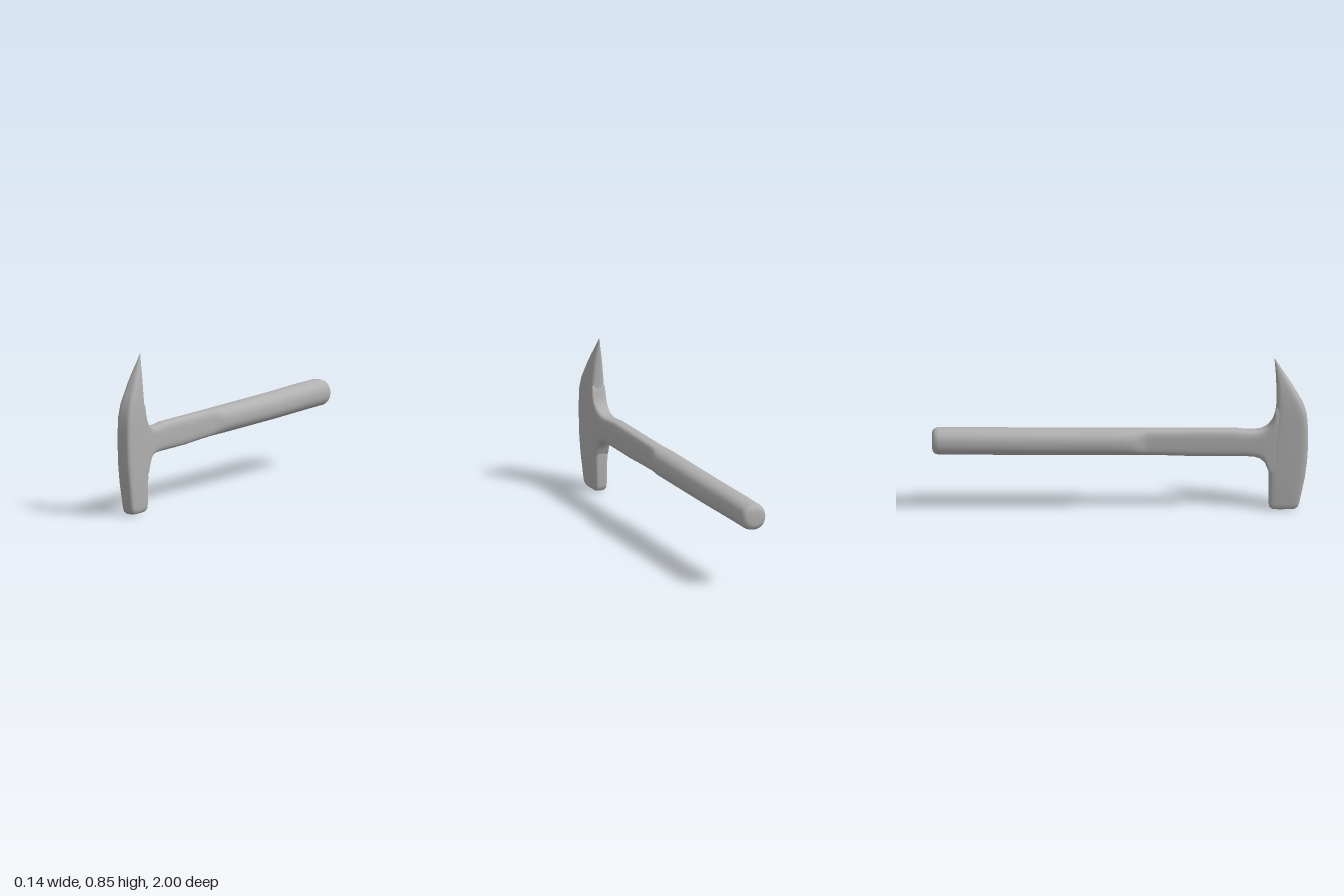
import * as THREE from 'three';

const SIDES = 48;

// Skin over rounded sections stacked along z: [z, yLow, yHigh, halfWidth, squareness]
function loft(sections) {
  const pos = [], index = [];
  const power = (v, n) => Math.sign(v) * Math.pow(Math.abs(v), 2 / n);
  for (const [z, lo, hi, half, n] of sections) {
    for (let j = 0; j < SIDES; j++) {
      const a = (j / SIDES) * Math.PI * 2;
      pos.push(half * power(Math.cos(a), n), (lo + hi) / 2 + ((hi - lo) / 2) * power(Math.sin(a), n), z);
    }
  }
  const last = sections.length - 1;
  for (let i = 0; i < last; i++) {
    for (let j = 0; j < SIDES; j++) {
      const k = (j + 1) % SIDES;
      const a = i * SIDES + j, b = i * SIDES + k;
      index.push(a, b, b + SIDES, a, b + SIDES, a + SIDES);
    }
  }
  // End caps
  const start = pos.length / 3, end = start + 1;
  for (const s of [sections[0], sections[last]]) pos.push(0, (s[1] + s[2]) / 2, s[0]);
  for (let j = 0; j < SIDES; j++) {
    const k = (j + 1) % SIDES;
    index.push(start, k, j, end, last * SIDES + j, last * SIDES + k);
  }
  const geo = new THREE.BufferGeometry();
  geo.setAttribute('position', new THREE.Float32BufferAttribute(pos, 3));
  geo.setIndex(index);
  geo.computeVertexNormals();
  return geo;
}

export function createModel() {
  const group = new THREE.Group();
  const steel = new THREE.MeshStandardMaterial({ color: 0xb0b0b0 });
  steel.name = 'grey steel';

  const add = (name, geo) => {
    const mesh = new THREE.Mesh(geo, steel);
    mesh.name = name;
    group.add(mesh);
  };

  // Head, from striking face up to the pick tip: [y, zBack, zFront, halfWidth, squareness]
  const head = [
    [0, 0.825, 0.915, 0.018, 3],
    [0.004, 0.805, 0.932, 0.028, 4],
    [0.015, 0.793, 0.945, 0.035, 5],
    [0.035, 0.789, 0.952, 0.038, 5],
    [0.1, 0.789, 0.966, 0.04, 5],
    [0.18, 0.789, 0.982, 0.043, 5],
    [0.27, 0.791, 0.994, 0.044, 5],
    [0.37, 0.8, 1.0, 0.044, 5],
    [0.46, 0.815, 0.999, 0.044, 5],
    [0.53, 0.828, 0.994, 0.044, 5],
    [0.6, 0.831, 0.973, 0.043, 4],
    [0.65, 0.831, 0.946, 0.038, 3.5],
    [0.7, 0.831, 0.918, 0.033, 3],
    [0.75, 0.829, 0.888, 0.025, 2.5],
    [0.8, 0.826, 0.857, 0.013, 2.2],
    [0.853, 0.821, 0.824, 0.001, 2],
  ];
  const headGeo = loft(head.map(([y, back, front, w, n]) => [y, -front, -back, w, n]));
  headGeo.rotateX(-Math.PI / 2);
  add('hammerHead', headGeo);

  // Round grip that narrows into a flat shank and flares into the head
  add('handle', loft([
    [-1, 0.36, 0.435, 0.038, 2],
    [-0.996, 0.343, 0.453, 0.056, 2.1],
    [-0.985, 0.331, 0.464, 0.067, 2.2],
    [-0.965, 0.327, 0.469, 0.071, 2.3],
    [-0.8, 0.326, 0.469, 0.072, 2.3],
    [-0.5, 0.32, 0.463, 0.072, 2.3],
    [0, 0.316, 0.46, 0.072, 2.3],
    [0.06, 0.316, 0.459, 0.07, 2.4],
    [0.09, 0.316, 0.459, 0.061, 2.6],
    [0.12, 0.316, 0.459, 0.051, 3],
    [0.15, 0.316, 0.459, 0.044, 3.5],
    [0.3, 0.311, 0.458, 0.042, 3.5],
    [0.4, 0.306, 0.458, 0.042, 3.5],
    [0.6, 0.305, 0.457, 0.042, 3.5],
    [0.66, 0.305, 0.45, 0.042, 3.5],
    [0.71, 0.303, 0.447, 0.042, 4],
    [0.745, 0.292, 0.451, 0.0425, 4.5],
    [0.77, 0.268, 0.461, 0.043, 5],
    [0.785, 0.23, 0.471, 0.043, 6],
    [0.795, 0.2, 0.481, 0.043, 7],
    [0.812, 0.19, 0.503, 0.043, 8],
    [0.825, 0.19, 0.54, 0.043, 8],
    [0.833, 0.19, 0.59, 0.042, 8],
    [0.87, 0.2, 0.59, 0.04, 8],
  ]));

  return group;
}
